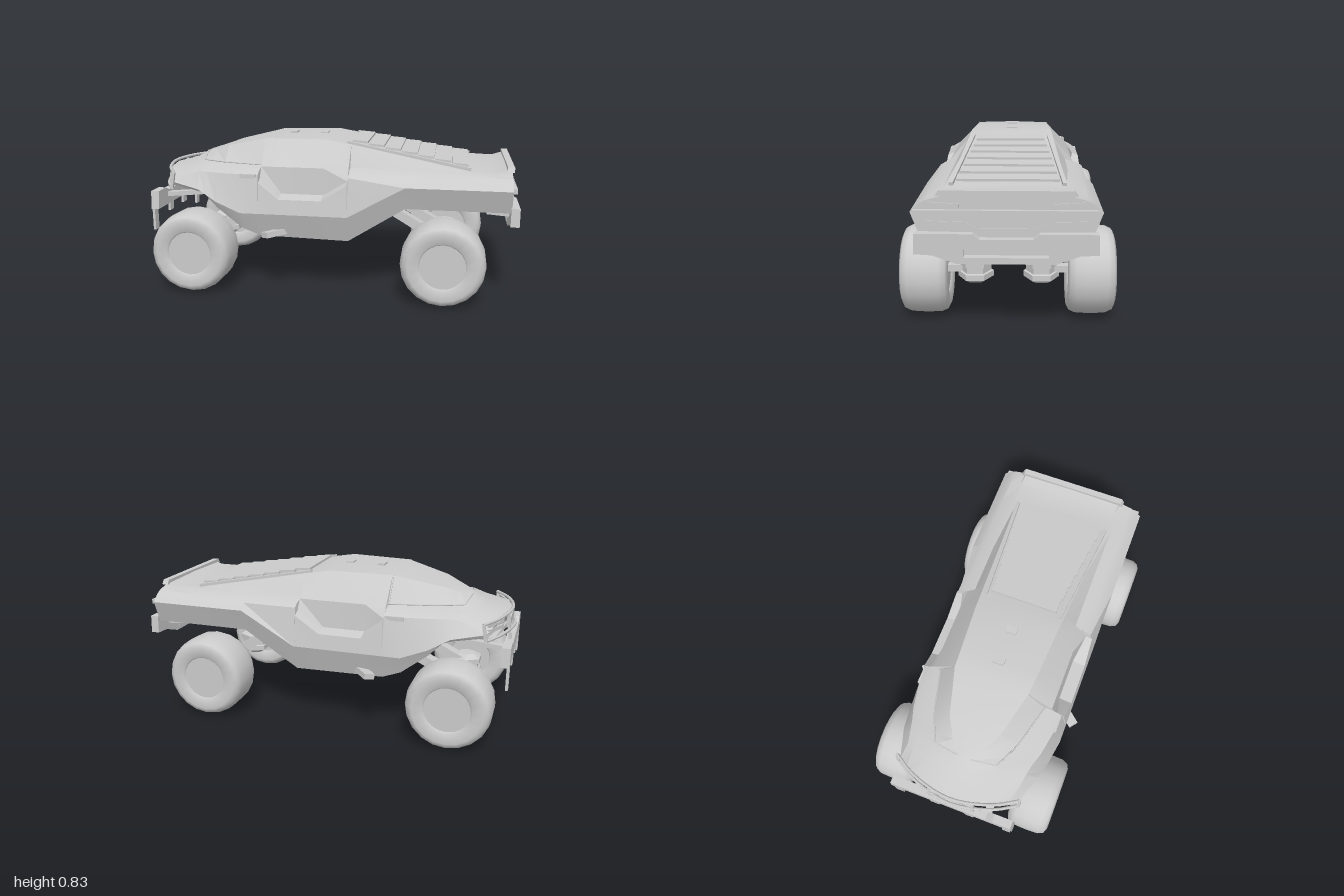
import * as THREE from 'three';
import { toCreasedNormals } from 'three/addons/utils/BufferGeometryUtils.js';

const grey = new THREE.MeshStandardMaterial({ color: 0xcccccc, side: THREE.DoubleSide });
const flat = new THREE.MeshStandardMaterial({ color: 0xcccccc, flatShading: true, side: THREE.DoubleSide });
const V = (x, y, z) => new THREE.Vector3(x, y, z);

// Piecewise linear lookup along x
function at(line, x) {
  if (x <= line[0][0]) return line[0][1];
  for (let i = 1; i < line.length; i++) {
    const [x0, v0] = line[i - 1], [x1, v1] = line[i];
    if (x <= x1) return v0 + (v1 - v0) * (x - x0) / (x1 - x0);
  }
  return line[line.length - 1][1];
}

// Guide lines of the hull: heights, half widths, window recess depth and nose sweep
const roofY = [[-.97, .63], [-.84, .665], [-.76, .71], [-.6, .765], [-.36, .82], [-.02, .825], [.12, .8], [.75, .685], [.88, .68], [.96, .705]];
const roofZ = [[-.97, .12], [-.76, .05], [-.6, .14], [-.36, .205], [.96, .29]];
const beltY = [[-.97, .62], [-.84, .652], [-.76, .675], [-.36, .68]];
const beltZ = [[-.97, .22], [-.84, .19], [-.74, .17], [-.6, .235], [-.36, .3]];
const creaseY = [[-.97, .575], [-.76, .55], [-.46, .44], [.12, .44], [.42, .61]];
const creaseZ = [[-.97, .33], [-.76, .385], [-.46, .43]];
const sillY = [[-.97, .555], [-.7, .535], [-.46, .35], [-.36, .308], [.12, .298], [.42, .49]];
const recess = [[-.365, 0], [-.36, .04], [-.25, .125], [-.02, .125], [.115, .04], [.12, 0]];
const sweep = [[-.97, .1], [-.84, .06], [-.6, 0]];

// Half cross-section from roof edge to floor edge as [y, z]
function section(x) {
  const dip = at(recess, x), by = at(beltY, x), bz = at(beltZ, x) + Math.min(dip, .04) * .9;
  const cy = at(creaseY, x), cz = at(creaseZ, x);
  const sy = at(sillY, x), sz = cz - .008 - (cy - sy) * .3;
  return [
    [at(roofY, x) - .006, at(roofZ, x)],
    [Math.min(by, at(roofY, x) - .008), bz],
    [by - .018 - dip, bz + (cz - bz) * (.5 - dip * 3)],
    [by - .035 - dip, bz + (cz - bz) * .72 + dip * .12],
    [cy, cz],
    [sy, sz],
    [sy - .009, sz * .78],
  ];
}

function hullGeometry() {
  const knots = [roofY, roofZ, creaseY, sillY, recess].flat().map(p => p[0]);
  const xs = [...new Set(knots)].sort((a, b) => a - b);
  const pos = [], idx = [], n = 16;
  for (const x of xs) {
    const half = section(x);
    const ring = [[at(roofY, x), 0], ...half, [half[6][0], 0], ...half.slice().reverse().map(([y, z]) => [y, -z])];
    for (const [y, z] of ring) pos.push(x + at(sweep, x) * (z / .33) ** 2, y, z);
  }
  for (let i = 0; i < xs.length - 1; i++)
    for (let j = 0; j < n; j++) {
      const a = i * n + j, b = i * n + (j + 1) % n;
      idx.push(a, b, b + n, a, b + n, a + n);
    }
  // Nose and tail caps
  const e = (xs.length - 1) * n, c = pos.length / 3;
  pos.push(-.97, .585, 0, .96, .58, 0);
  for (let j = 0; j < n; j++) {
    const k = (j + 1) % n;
    idx.push(c, k, j, c + 1, e + j, e + k);
  }
  const g = new THREE.BufferGeometry();
  g.setAttribute('position', new THREE.Float32BufferAttribute(pos, 3));
  g.setIndex(idx);
  return toCreasedNormals(g, .35);
}

// Symmetric plate across the car from half an outline of [z, y] points
function plate(half, x, depth, hole) {
  const mirror = p => [...p, ...p.slice().reverse().map(([z, y]) => [-z, y])].map(([z, y]) => new THREE.Vector2(z, y));
  const s = new THREE.Shape(mirror(half));
  if (hole) s.holes.push(new THREE.Path(mirror(hole)));
  return new THREE.ExtrudeGeometry(s, { depth, bevelEnabled: false }).rotateY(Math.PI / 2).translate(x, 0, 0);
}

// Lathe from half a profile of [radius, height], mirrored about its middle
function mirroredLathe(half, sides) {
  const pts = [...half.map(([r, h]) => [r, -h]), ...half.slice().reverse()];
  return new THREE.LatheGeometry(pts.map(p => new THREE.Vector2(...p)), sides);
}

export function createModel() {
  const car = new THREE.Group();
  car.name = 'offRoadVehicle';
  const add = (name, geo, mat = flat) => {
    const m = new THREE.Mesh(geo, mat);
    m.name = name;
    car.add(m);
    return m;
  };
  const box = (name, w, h, d, x, y, z) => {
    const m = add(name, new THREE.BoxGeometry(w, h, d));
    m.position.set(x, y, z);
    return m;
  };
  // Rectangular bar between two points
  const beam = (name, a, b, w, h) => {
    const m = box(name, w, h, a.distanceTo(b), 0, 0, 0);
    m.position.copy(a).add(b).multiplyScalar(.5);
    m.lookAt(b);
  };
  const tube = (name, pts, r) =>
    add(name, new THREE.TubeGeometry(new THREE.CatmullRomCurve3(pts), 16, r, 6), grey);

  add('hull', hullGeometry(), grey);

  // Roof hatches and louvred rear deck
  for (const x of [-.25, -.07]) box('roofHatch', .04, .01, .06, x, .826, 0);
  for (let i = 0; i < 7; i++) {
    const x = .155 + i * .09;
    box('louvre', .086, .012, .37 + i * .02, x, at(roofY, x) + .011, 0).rotation.z = -.08;
  }

  // Tail: spoiler, shelf, centre panel, valance and slotted bumper
  add('spoiler', plate([[0, .71], [.3, .71], [.315, .685], [0, .685]], .935, .035));
  box('tailShelf', .03, .025, .83, .965, .61, 0);
  add('tailPanel', plate([[0, .612], [.17, .612], [.165, .58], [.13, .545], [0, .545]], .95, .025));
  add('tailValance', plate([[0, .535], [.13, .535], [.18, .565], [.36, .57], [.33, .51], [0, .49]], .95, .015));
  add('rearBumper', plate([[0, .495], [.12, .495], [.15, .52], [.41, .52], [.415, .425], [.33, .42], [.22, .38], [0, .38]],
    .955, .045, [[0, .45], [.19, .45], [.19, .41], [0, .41]]));
  box('bumperSlotBack', .01, .06, .4, .957, .43, 0);

  // Nose: bumper, grille and curved brush guard
  add('frontBumper', plate([[0, .5], [.2, .5], [.24, .52], [.34, .52], [.35, .42], [0, .42]], -1, .045));
  box('grille', .02, .05, .24, -.965, .59, 0);
  for (const [name, y, dx] of [['guardTopBar', .64, .01], ['guardLowerBar', .555, -.005]])
    tube(name, [-.34, -.22, 0, .22, .34].map(z => V(-.985 + dx + z * z, y - z * z * .09, z)), .009);

  for (const s of [-1, 1]) {
    const side = s > 0 ? 'left' : 'right';
    beam(side + 'GuardEnd', V(-.86, .63, s * .34), V(-.875, .545, s * .34), .016, .016);
    beam(side + 'GuardUpright', V(-.96, .64, s * .12), V(-.978, .5, s * .12), .014, .014);
    box(side + 'BumperOuterProng', .014, .13, .045, -.993, .36, s * .315);
    box(side + 'BumperInnerProng', .014, .07, .05, -.993, .39, s * .1);
    for (const y of [.585, .615]) beam(side + 'Headlight', V(-.94, y, s * .17), V(-.88, y, s * .3), .012, .02);
    beam(side + 'TailLamp', V(.955, .637, s * .21), V(.955, .645, s * .35), .022, .024);

    // Deck rails, canopy seams and windscreen frame
    beam(side + 'DeckRail', V(.09, .803, s * .21), V(.75, .686, s * .268), .02, .018);
    beam(side + 'CanopySeam', V(-.365, .813, s * .205), V(-.365, .682, s * .3), .006, .006);
    tube(side + 'WindscreenFrame', [-.365, -.48, -.6, -.74].map(x => V(x + .03 * Math.max(0, -x - .7), at(beltY, x) + .002, s * at(beltZ, x))), .004);
    beam(side + 'WindscreenTip', V(-.74, .678, s * .17), V(-.762, .708, s * .04), .006, .006);

    // Bumper brackets
    beam(side + 'FrontBracket', V(-.97, .475, s * .2), V(-.7, .5, s * .2), .04, .025);
    beam(side + 'RearBracket', V(.84, .475, s * .28), V(.97, .465, s * .28), .05, .03);

    // Door vent and side step
    box(side + 'Vent', .09, .022, .02, -.42, .635, s * .385);
    box(side + 'Step', .055, .03, .14, -.27, .335, s * .415).rotation.set(0, -s * .7, .15);

    // Wheels, gear hubs and trailing arms
    for (const [end, x, bodyX, bodyY] of [['Front', -.725, -.42, .4], ['Rear', .625, .32, .43]]) {
      const tyre = add(side + end + 'Tyre', mirroredLathe([[.115, .095], [.128, .112], [.18, .117], [.205, .105], [.219, .075], [.222, .02]], 20).rotateX(Math.PI / 2), grey);
      tyre.position.set(x, .222, s * .405);
      const rim = add(side + end + 'Rim', new THREE.CylinderGeometry(.127, .127, .2, 20).rotateX(Math.PI / 2));
      rim.position.copy(tyre.position);
      const hub = add(side + end + 'GearHub', mirroredLathe([[0, .071], [.05, .071], [.09, .048], [.09, .019], [.078, .016]], 6));
      hub.position.set(x, .229, s * .165);
      beam(side + end + 'Axle', V(x, .225, s * .17), V(x, .225, s * .4), .04, .035);
      beam(side + end + 'Arm', V(x, .25, s * .135), V(bodyX, bodyY, s * .135), .07, .05);
    }
  }
  return car;
}
